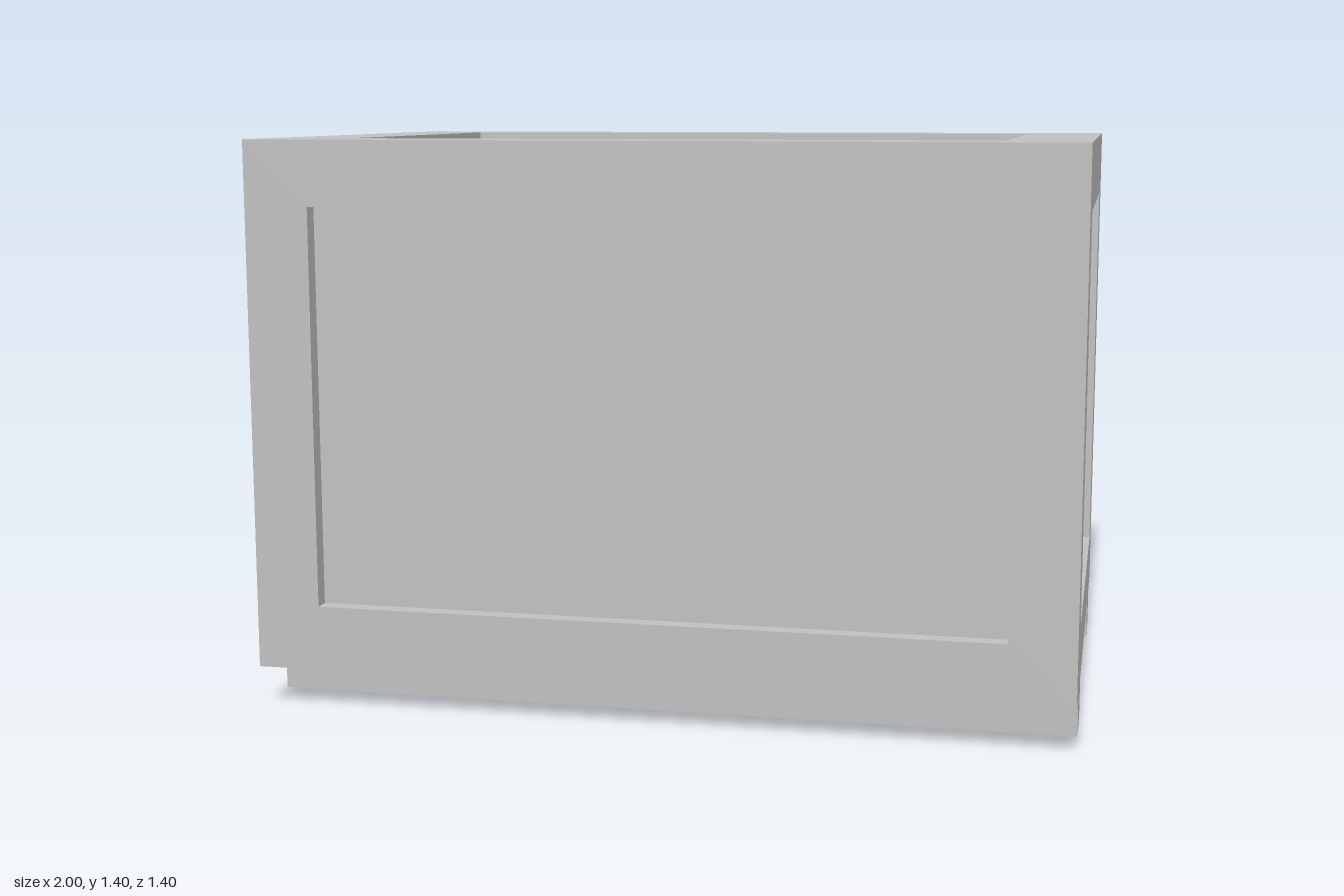
import * as THREE from 'three';
import { mergeGeometries } from 'three/addons/utils/BufferGeometryUtils.js';

const LENGTH = 2, HEIGHT = 1.3, DEPTH = 1.4, BASE = 0.1, RECESS = 0.04;

// Flat face toward +z: a rectangular frame around a sunken panel
function recessedFace(w, h, pw, ph) {
  const rect = (Type, a, b) => new Type([
    new THREE.Vector2(-a, -b), new THREE.Vector2(a, -b),
    new THREE.Vector2(a, b), new THREE.Vector2(-a, b),
  ]);
  const frame = rect(THREE.Shape, w / 2, h / 2);
  frame.holes.push(rect(THREE.Path, pw / 2, ph / 2));
  const parts = [
    new THREE.ShapeGeometry(frame),
    new THREE.PlaneGeometry(pw, ph).translate(0, 0, -RECESS),
  ];
  // Inner walls of the recess
  for (const s of [-1, 1]) {
    parts.push(
      new THREE.PlaneGeometry(RECESS, ph).rotateY(-s * Math.PI / 2).translate(s * pw / 2, 0, -RECESS / 2),
      new THREE.PlaneGeometry(pw, RECESS).rotateX(s * Math.PI / 2).translate(0, s * ph / 2, -RECESS / 2),
    );
  }
  return mergeGeometries(parts);
}

export function createModel() {
  const model = new THREE.Group();
  model.name = 'crate';
  const grey = new THREE.MeshStandardMaterial({ color: 0xbfbfbf });
  grey.name = 'light grey';

  const add = (name, geometry, x, y, z) => {
    const mesh = new THREE.Mesh(geometry, grey);
    mesh.name = name;
    mesh.position.set(x, y, z);
    model.add(mesh);
  };
  const midY = BASE + HEIGHT / 2;

  // Long sides and ends
  for (const s of [1, -1]) {
    const long = recessedFace(LENGTH, HEIGHT, 1.68, 0.98).rotateY(s > 0 ? 0 : Math.PI);
    add(s > 0 ? 'frontPanel' : 'backPanel', long, 0, midY, s * DEPTH / 2);
    const end = recessedFace(DEPTH, HEIGHT, 1.0, 0.98).rotateY(s * Math.PI / 2);
    add(s > 0 ? 'leftPanel' : 'rightPanel', end, s * LENGTH / 2, midY, 0);
  }

  // Lid and underside
  add('topPanel', recessedFace(LENGTH, DEPTH, 1.6, 1.0).rotateX(-Math.PI / 2), 0, BASE + HEIGHT, 0);
  add('underside', new THREE.PlaneGeometry(LENGTH, DEPTH).rotateX(Math.PI / 2), 0, BASE, 0);

  // Skids running the full length
  for (const s of [1, -1]) {
    add(s > 0 ? 'frontSkid' : 'backSkid', new THREE.BoxGeometry(LENGTH, BASE, 0.16), 0, BASE / 2, s * 0.46);
  }
  return model;
}
